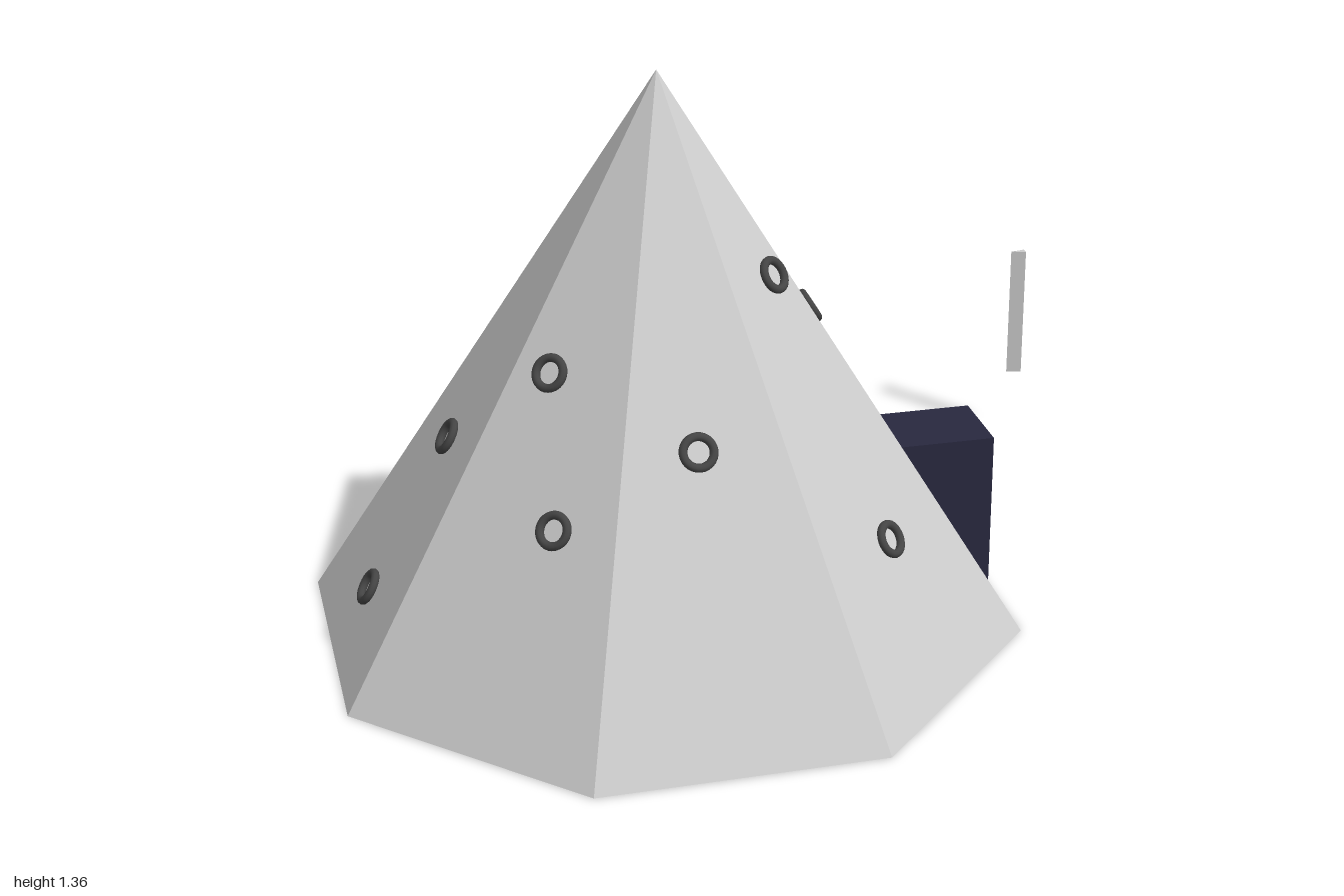
import * as THREE from 'three';

const CENTER_X = -0.195, HEIGHT = 1.36, APOTHEM = 0.805, TURN = 0.01;

function add(parent, name, geometry, material, x = 0, y = 0, z = 0) {
  const mesh = new THREE.Mesh(geometry, material);
  mesh.name = name;
  mesh.position.set(x, y, z);
  parent.add(mesh);
  return mesh;
}

export function createModel() {
  const model = new THREE.Group();
  model.name = 'pyramidTent';
  const grey = new THREE.MeshStandardMaterial({ color: 0xcccccc, flatShading: true });
  const ringDark = new THREE.MeshStandardMaterial({ color: 0x444444 });
  const navy = new THREE.MeshStandardMaterial({ color: 0x28283f, flatShading: true });

  // Eight-sided tent body with a closed floor
  const radius = APOTHEM / Math.cos(Math.PI / 8);
  const body = new THREE.ConeGeometry(radius, HEIGHT, 8, 1, false, Math.PI / 8 + TURN);
  add(model, 'tentBody', body, grey, CENTER_X, HEIGHT / 2, 0);

  // Ring windows lying on the sloping faces, given by plan position
  const ringSpots = [
    [-0.57, -0.54], [-0.13, -0.505], [-0.23, -0.375], [0.245, -0.445], [-0.405, -0.205],
    [-0.91, 0.05], [-0.705, 0.01], [0.19, -0.075], [0.04, 0.16], [-0.495, 0.23],
    [-0.53, 0.435], [-0.205, 0.45], [0.25, 0.425],
  ];
  const ring = new THREE.TorusGeometry(0.035, 0.01, 10, 28);
  const windows = new THREE.Group();
  windows.name = 'ringWindows';
  model.add(windows);
  for (const [x, z] of ringSpots) {
    const step = Math.PI / 4;
    const angle = Math.round((Math.atan2(x - CENTER_X, z) - TURN) / step) * step + TURN;
    const out = new THREE.Vector3(Math.sin(angle), 0, Math.cos(angle));
    const distance = (x - CENTER_X) * out.x + z * out.z;
    const y = HEIGHT * (1 - distance / APOTHEM) + 0.018;
    const normal = out.multiplyScalar(HEIGHT).setY(APOTHEM).normalize();
    const mesh = add(windows, 'ringWindow', ring, ringDark, x, y, z);
    mesh.quaternion.setFromUnitVectors(new THREE.Vector3(0, 0, 1), normal);
  }

  // Entrance block on the left side with a framed double door
  const entrance = new THREE.Group();
  entrance.name = 'entrance';
  entrance.position.set(0, -0.001, -0.01);
  model.add(entrance);
  add(entrance, 'entranceBlock', new THREE.BoxGeometry(0.225, 0.405, 0.2), navy, 0.4825, 0.2025, 0);

  const frame = new THREE.Shape([[-0.1, 0], [0.1, 0], [0.1, 0.405], [-0.1, 0.405]]
    .map(([x, y]) => new THREE.Vector2(x, y)));
  frame.holes.push(new THREE.Path([[-0.09, 0.018], [-0.09, 0.393], [0.09, 0.393], [0.09, 0.018]]
    .map(([x, y]) => new THREE.Vector2(x, y))));
  const frameGeometry = new THREE.ExtrudeGeometry(frame, { depth: 0.015, bevelEnabled: false });
  frameGeometry.rotateY(Math.PI / 2);
  add(entrance, 'doorFrame', frameGeometry, navy, 0.595, 0, 0);
  for (const side of [-1, 1]) {
    add(entrance, 'doorLeaf', new THREE.BoxGeometry(0.01, 0.375, 0.088), navy, 0.6, 0.2055, side * 0.046);
  }

  // Separate thin upright wedge beyond the rear corner
  const wedge = new THREE.Shape();
  wedge.moveTo(0.957, 0.79);
  wedge.lineTo(0.996, 0.78);
  wedge.lineTo(0.996, 0.798);
  wedge.closePath();
  const wedgeGeometry = new THREE.ExtrudeGeometry(wedge, { depth: 0.357, bevelEnabled: false });
  wedgeGeometry.rotateX(-Math.PI / 2);
  add(model, 'uprightWedge', wedgeGeometry, grey, 0, 0.178, 0);

  return model;
}
